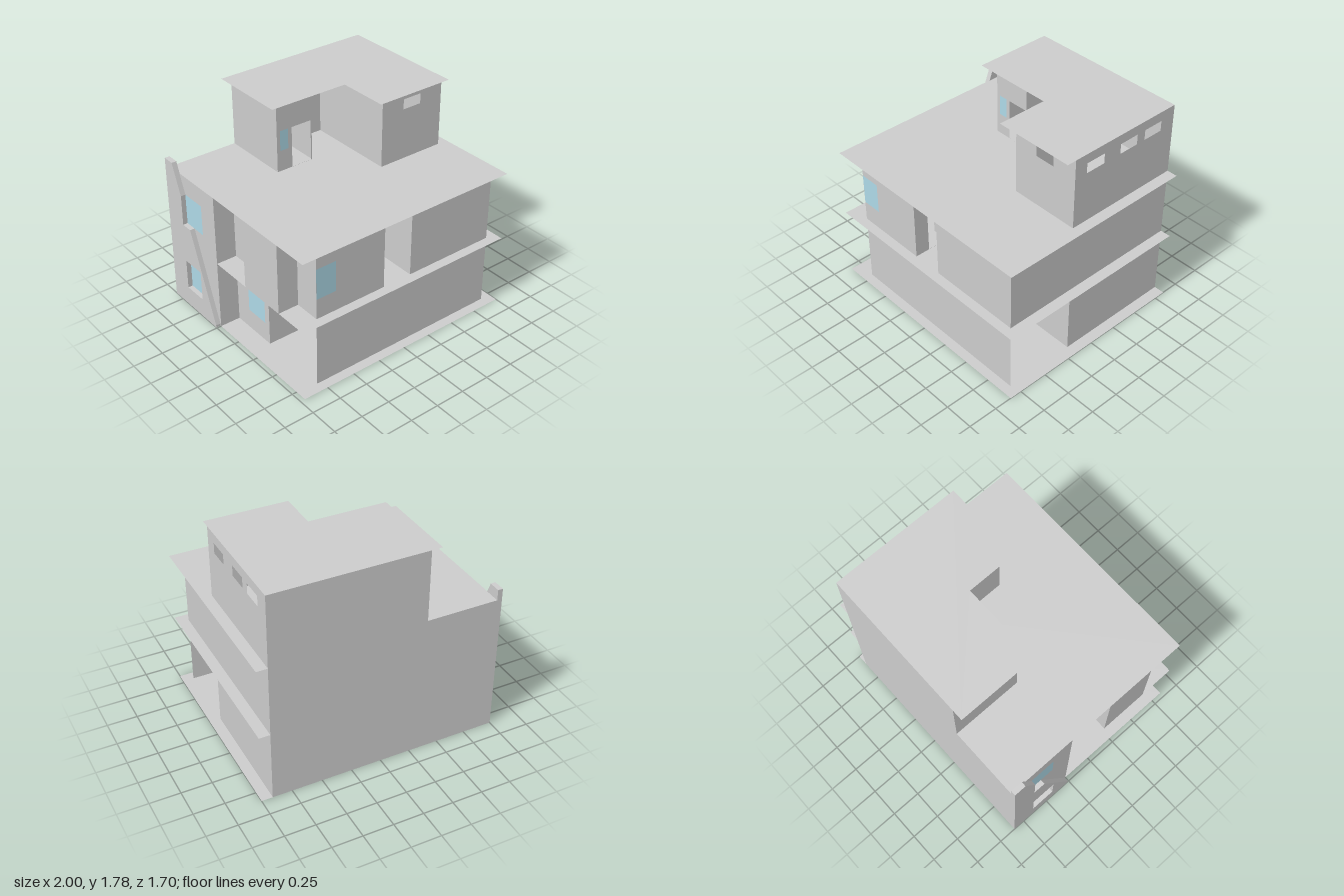
import * as THREE from 'three';

const grey = new THREE.MeshStandardMaterial({ color: 0xcccccc, side: THREE.DoubleSide });
const blue = new THREE.MeshStandardMaterial({ color: 0xadd8e6, side: THREE.DoubleSide });

const polygon = (pts) => new THREE.Shape(pts.map(([a, b]) => new THREE.Vector2(a, b)));
const rect = (a0, a1, b0, b1) => polygon([[a0, b0], [a1, b0], [a1, b1], [a0, b1]]);

export function createModel() {
  const group = new THREE.Group();
  const add = (name, geometry, material = grey) => {
    const mesh = new THREE.Mesh(geometry, material);
    mesh.name = name;
    group.add(mesh);
  };

  // Place a flat shape across z (drawn in x, y) or across x (drawn in -z, y)
  const place = (geometry, axis, at) =>
    axis === 'z' ? geometry.translate(0, 0, at) : geometry.rotateY(Math.PI / 2).translate(at, 0, 0);
  // Thin wall from a to b along the other axis; openings are [from, to, bottom, top, glazed]
  const wall = (name, axis, at, a, b, y0, y1, openings = []) => {
    const span = (p, q) => (axis === 'z' ? [p, q] : [-q, -p]);
    const shape = rect(...span(a, b), y0, y1);
    for (const [p, q, low, high, glazed] of openings) {
      const opening = rect(...span(p, q), low, high);
      shape.holes.push(opening);
      if (glazed) add(name + 'Glass', place(new THREE.ShapeGeometry(opening), axis, at), blue);
    }
    add(name, place(new THREE.ShapeGeometry(shape), axis, at));
  };
  const slab = (name, y, pts) =>
    add(name, new THREE.ShapeGeometry(polygon(pts.map(([x, z]) => [x, -z]))).rotateX(-Math.PI / 2).translate(0, y, 0));

  // Storey heights
  const F1 = 0.6, F2 = 1.19, TOP = 1.785;

  // Floor slabs and stepped roof
  const plan = [[-0.96, 0.85], [1, 0.85], [1, -0.85], [-0.96, -0.85]];
  ['groundSlab', 'middleSlab', 'terraceSlab'].forEach((name, i) => slab(name, [0, F1, F2][i], plan));
  slab('roofSlab', TOP, [[-0.45, -0.85], [-0.45, -0.18], [0.23, -0.18], [0.23, 0.25], [0.91, 0.25], [0.91, -0.85]]);

  // Back wall over all storeys
  const back = polygon([[-0.96, 0], [0.91, 0], [0.91, TOP], [-0.36, TOP], [-0.36, F2], [-0.96, F2]]);
  add('backWall', new THREE.ShapeGeometry(back).translate(0, 0, -0.85));

  // Left walls shared by the two lower storeys
  wall('leftRearWall', 'x', -0.96, -0.85, -0.25, 0, F2, [
    [-0.65, -0.43, 0.17, 0.43, true], [-0.65, -0.43, 0.77, 1.03, true]]);
  wall('leftReturnWall', 'z', -0.25, -0.96, -0.785, 0, F2);

  // Ground storey with an open passage behind the front wall
  wall('groundFrontWall', 'z', 0.77, -0.785, 0.91, 0, F1);
  wall('groundInnerWall', 'z', 0.17, -0.785, 0.91, 0, F1);
  wall('groundRightWall', 'x', 0.91, -0.85, 0.17, 0, F1);
  wall('groundLeftWall', 'x', -0.785, -0.25, 0.17, 0, F1, [[-0.1, 0.115, 0.17, 0.43, true]]);

  // Middle storey, left side
  wall('middleLeftWall', 'x', -0.785, -0.25, 0.13, F1, F2, [[-0.06, 0.115, 0.77, 0.94, true]]);
  wall('leftBayBack', 'z', 0.13, -0.96, -0.785, F1, F2);
  wall('leftBaySide', 'x', -0.96, 0.13, 0.55, F1, F2);
  wall('leftBayFront', 'z', 0.55, -0.96, -0.785, F1, F2);
  wall('leftCornerWall', 'x', -0.785, 0.55, 0.77, F1, F2);

  // Middle storey, front and right
  wall('middleFrontLeftWall', 'z', 0.77, -0.785, -0.155, F1, F2, [[-0.784, -0.61, 0.77, 1.03, true]]);
  wall('middleFrontRightWall', 'z', 0.77, 0.105, 0.91, F1, F2);
  wall('middleRightWall', 'x', 0.91, -0.85, 0.77, F1, F2);

  // Entrance recess
  wall('entranceDoorWall', 'x', -0.155, 0.47, 0.77, F1, F2, [[0.505, 0.645, 0.601, 0.94]]);
  wall('entranceReturn', 'z', 0.47, -0.3, -0.155, F1, F2);
  wall('entranceLeftWall', 'x', -0.3, -0.1, 0.47, F1, F2);
  wall('entranceRightWall', 'x', 0.105, -0.1, 0.77, F1, F2);
  wall('entranceBackWall', 'z', -0.1, -0.3, 0.105, F1, F2);

  // Top storey with a recess between its two rooms
  wall('topLeftWall', 'x', -0.36, -0.85, -0.26, F2, TOP);
  wall('topFrontLeftWall', 'z', -0.26, -0.36, -0.03, F2, TOP, [
    [-0.33, -0.255, 1.365, 1.535, true], [-0.22, -0.04, F2 + 0.001, 1.535]]);
  wall('topRecessLeftWall', 'x', -0.03, -0.6, -0.26, F2, TOP);
  wall('topRecessBackWall', 'z', -0.6, -0.03, 0.315, F2, TOP);
  wall('topRecessRightWall', 'x', 0.315, -0.6, 0.17, F2, TOP);
  wall('topFrontRightWall', 'z', 0.17, 0.315, 0.91, F2, TOP, [[0.525, 0.695, 1.62, 1.705]]);
  wall('topRightWall', 'x', 0.91, -0.85, 0.17, F2, TOP,
    [0.055, -0.285, -0.54].map((z) => [z - 0.175, z, 1.62, 1.705]));

  // Slanted buttress on the left rear corner, with a notch and a window
  const fin = polygon([[0.26, 0], [0.85, 0], [0.85, 1.28], [0.75, 1.28], [0.65, 1.03],
    [0.65, 0.77], [0.55, 0.77], [0.26, 0.02]]);
  fin.holes.push(rect(0.44, 0.65, 0.17, 0.43));
  add('buttress', place(new THREE.ExtrudeGeometry(fin, { depth: 0.042, bevelEnabled: false }), 'x', -1));

  return group;
}
